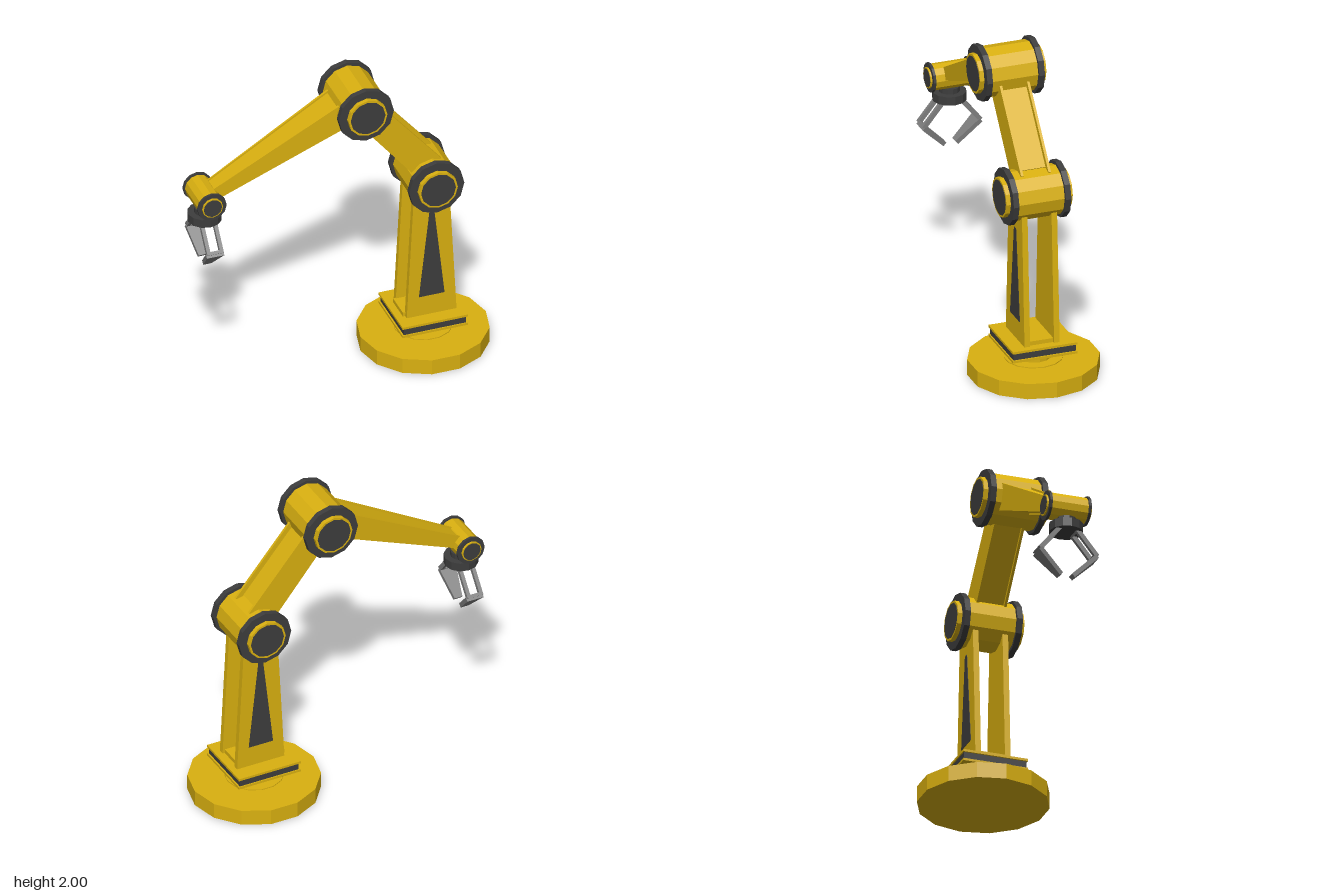
import * as THREE from 'three';

const material = (color) => new THREE.MeshStandardMaterial({ color, flatShading: true });

export function createModel() {
  const model = new THREE.Group();
  const yellow = material(0xd9b010), dark = material(0x3d3d3d), grey = material(0x808080);
  const midZ = 0.012; // centre plane of the arm

  const add = (name, geometry, mat, x = 0, y = 0, z = 0, parent = model) => {
    const mesh = new THREE.Mesh(geometry, mat);
    mesh.name = name;
    mesh.position.set(x, y, z);
    parent.add(mesh);
    return mesh;
  };
  const box = (w, h, d) => new THREE.BoxGeometry(w, h, d);
  const disc = (r, h, sides = 14) =>
    new THREE.CylinderGeometry(r, r, h, sides).rotateY(Math.PI / 2);
  const axle = (r, length) => new THREE.CylinderGeometry(r, r, length, 12).rotateX(Math.PI / 2);
  const outline = (points) => new THREE.Shape(points.map((p) => new THREE.Vector2(...p)));
  // Flat plate in the xy plane, centred on its thickness
  const plate = (points, depth, hole) => {
    const shape = outline(points);
    if (hole) shape.holes.push(outline(hole));
    return new THREE.ExtrudeGeometry(shape, { depth, bevelEnabled: false }).translate(0, 0, -depth / 2);
  };

  // Base and turntable
  const bx = 0.555;
  add('base', disc(0.403, 0.1), yellow, bx, 0.05);
  add('baseRing', disc(0.18, 0.006), yellow, bx, 0.103);
  add('neck', disc(0.11, 0.08), yellow, bx, 0.14);
  add('turntableBottom', box(0.42, 0.015, 0.415), yellow, bx, 0.183, 0.003);
  add('turntableCore', box(0.4, 0.05, 0.4), dark, bx, 0.213, 0.003);
  add('turntableTop', box(0.42, 0.015, 0.415), yellow, bx, 0.242, 0.003);
  add('columnFoot', box(0.32, 0.028, 0.17), yellow, 0.55, 0.262, 0.008);

  // Column: two tapered plates with dark inlays outside
  for (const s of [1, -1]) {
    const z = 0.008 + s * 0.095;
    add('columnPlate',
      plate([[0.405, 0.25], [0.725, 0.25], [0.675, 1.2], [0.455, 1.2]], 0.036), yellow, 0, 0, z);
    add('columnInlay',
      plate([[0.483, 0.385], [0.647, 0.385], [0.582, 0.98], [0.55, 0.98]], 0.004), dark, 0, 0, z + s * 0.019);
  }

  // Joint: barrel, two dark collars, end caps with dark inlays
  const joint = (name, x, y, r, collarZ, collarW, half) => {
    const g = new THREE.Group();
    g.name = name;
    g.position.set(x, y, midZ);
    model.add(g);
    add('barrel', axle(r * 0.885, collarZ * 2), yellow, 0, 0, 0, g);
    for (const s of [1, -1]) {
      add('collar', axle(r, collarW), dark, 0, 0, s * collarZ, g);
      add('cap', axle(r * 0.705, half - collarZ), yellow, 0, 0, s * (half + collarZ) / 2, g);
      add('capInlay', axle(r * 0.63, 0.004), dark, 0, 0, s * half, g);
    }
  };
  joint('shoulder', 0.57, 1.198, 0.177, 0.167, 0.036, 0.213);
  joint('elbow', 0.117, 1.823, 0.177, 0.167, 0.036, 0.213);
  joint('wrist', -0.855, 1.355, 0.093, 0.125, 0.016, 0.144);

  // Upper arm: side plates around a recessed web
  for (const s of [1, -1]) {
    add('upperArmPlate',
      plate([[0.07, 1.745], [0.2, 1.86], [0.632, 1.345], [0.5, 1.21]], 0.016), yellow, 0, 0, midZ + s * 0.088);
  }
  add('upperArmWeb',
    plate([[0.09, 1.75], [0.18, 1.835], [0.58, 1.357], [0.5, 1.24]], 0.166), yellow, 0, 0, midZ);

  // Forearm: same build, narrowing in z toward the wrist
  const taper = (geometry) => {
    const p = geometry.attributes.position;
    for (let i = 0; i < p.count; i++) {
      p.setZ(i, p.getZ(i) * THREE.MathUtils.mapLinear(p.getX(i), -0.8, -0.03, 0.57, 1));
    }
    geometry.computeVertexNormals();
    return geometry;
  };
  const forearm = [[-0.84, 1.328], [0.05, 1.722], [0.03, 1.902], [-0.84, 1.415]];
  const web = [[-0.84, 1.338], [0.05, 1.736], [0.03, 1.888], [-0.84, 1.405]];
  for (const s of [1, -1]) {
    add('forearmPlate',
      taper(plate(forearm, 0.016).translate(0, 0, s * 0.093)), yellow, 0, 0, 0.008);
  }
  add('forearmWeb', taper(plate(web, 0.18)), yellow, 0, 0, 0.008);

  // Gripper: flange and two bent jaws
  const gx = -0.855;
  add('gripperNeck', disc(0.065, 0.04, 12), dark, gx, 1.262, midZ);
  add('gripperFlange', disc(0.105, 0.055, 12), dark, gx, 1.222, midZ);
  // Places a part drawn downward from the origin along a slope in the yz plane
  const slope = (name, geometry, y, z, dy, dz) => {
    add(name, geometry, grey, gx, y, midZ + z).rotation.x = -Math.atan2(dz, -dy);
  };
  for (const s of [1, -1]) {
    slope('jawLink', plate(
      [[-0.053, 0], [-0.053, -0.21], [0.053, -0.21], [0.053, 0]], 0.028,
      [[-0.03, -0.02], [0.03, -0.02], [0.03, -0.19], [-0.03, -0.19]]),
    1.21, s * 0.05, -0.16, s * 0.13);
    slope('jawTip', plate(
      [[-0.056, 0], [-0.026, -0.2], [0.026, -0.2], [0.056, 0]], 0.028),
    1.045, s * 0.182, -0.14, s * -0.145);
  }
  return model;
}
